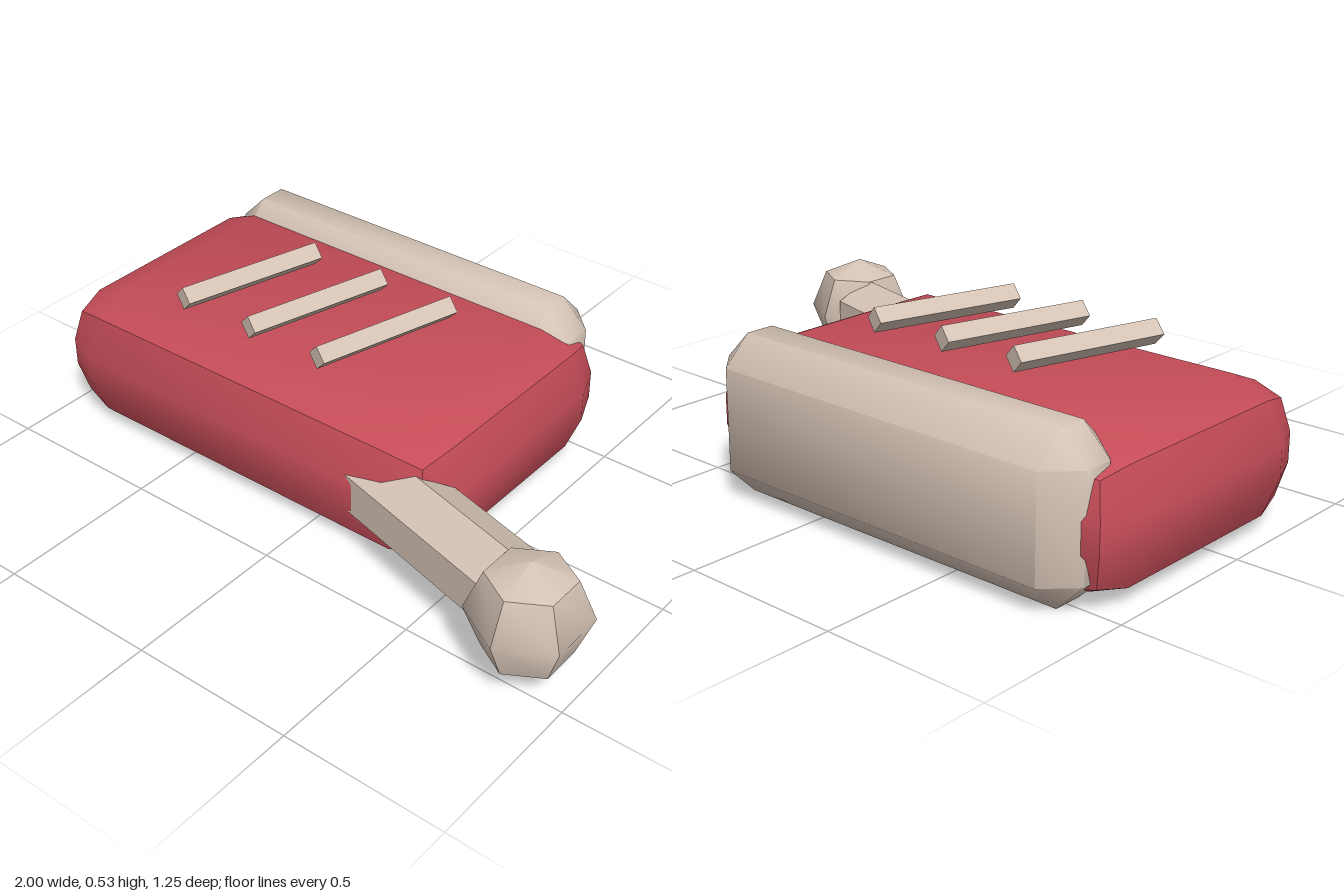
import * as THREE from 'three';
import { toCreasedNormals } from 'three/addons/utils/BufferGeometryUtils.js';
import { RoundedBoxGeometry } from 'three/addons/geometries/RoundedBoxGeometry.js';
import { ConvexGeometry } from 'three/addons/geometries/ConvexGeometry.js';

const red = new THREE.MeshStandardMaterial({ color: 0xc44c57 });
red.name = 'red';
const beige = new THREE.MeshStandardMaterial({ color: 0xd5c3b5 });
beige.name = 'beige';

// Box whose edges and corners are cut by one flat chamfer
function chamferedBox(w, h, d, c) {
  const points = [];
  for (const sx of [-1, 1]) for (const sy of [-1, 1]) for (const sz of [-1, 1]) {
    const x = w / 2, y = h / 2, z = d / 2;
    points.push(
      new THREE.Vector3(sx * x, sy * (y - c), sz * (z - c)),
      new THREE.Vector3(sx * (x - c), sy * y, sz * (z - c)),
      new THREE.Vector3(sx * (x - c), sy * (y - c), sz * z),
    );
  }
  return new ConvexGeometry(points);
}

// Prism lying flat with one corner edge up, turned about the vertical
function lyingPrism(radius, length, sides, turn) {
  return new THREE.CylinderGeometry(radius, radius, length, sides)
    .rotateY(Math.PI / 2)
    .rotateZ(-Math.PI / 2)
    .rotateY(turn);
}

export function createModel() {
  const model = new THREE.Group();
  model.name = 'model';

  function add(name, geometry, material, x, y, z, crease = 0.73) {
    const mesh = new THREE.Mesh(toCreasedNormals(geometry, crease), material);
    mesh.name = name;
    mesh.position.set(x, y, z);
    model.add(mesh);
  }

  // Main body with two-step rounded edges
  add('body', new RoundedBoxGeometry(1.46, 0.43, 0.94, 1, 0.17), red, -0.27, 0.215, -0.11);

  // Chamfered bar along the back
  add('backBar', chamferedBox(1.29, 0.475, 0.26, 0.085), beige, -0.27, 0.2375, -0.495, 0.9);

  // Three slanted slats hovering above the top
  for (let i = 0; i < 3; i++) {
    add('slat' + (i + 1), lyingPrism(0.0375, 0.472, 4, THREE.MathUtils.degToRad(74)), beige,
      -0.508 + i * 0.2585, 0.4925, -0.03);
  }

  // Crank arm and knob at the front left corner
  add('crankArm', lyingPrism(0.12, 0.65, 6, THREE.MathUtils.degToRad(-15)), beige, 0.465, 0.219, 0.324);
  add('crankKnob', new THREE.SphereGeometry(0.171, 6, 4).rotateY(Math.PI / 2), beige, 0.852, 0.219, 0.45);

  return model;
}
